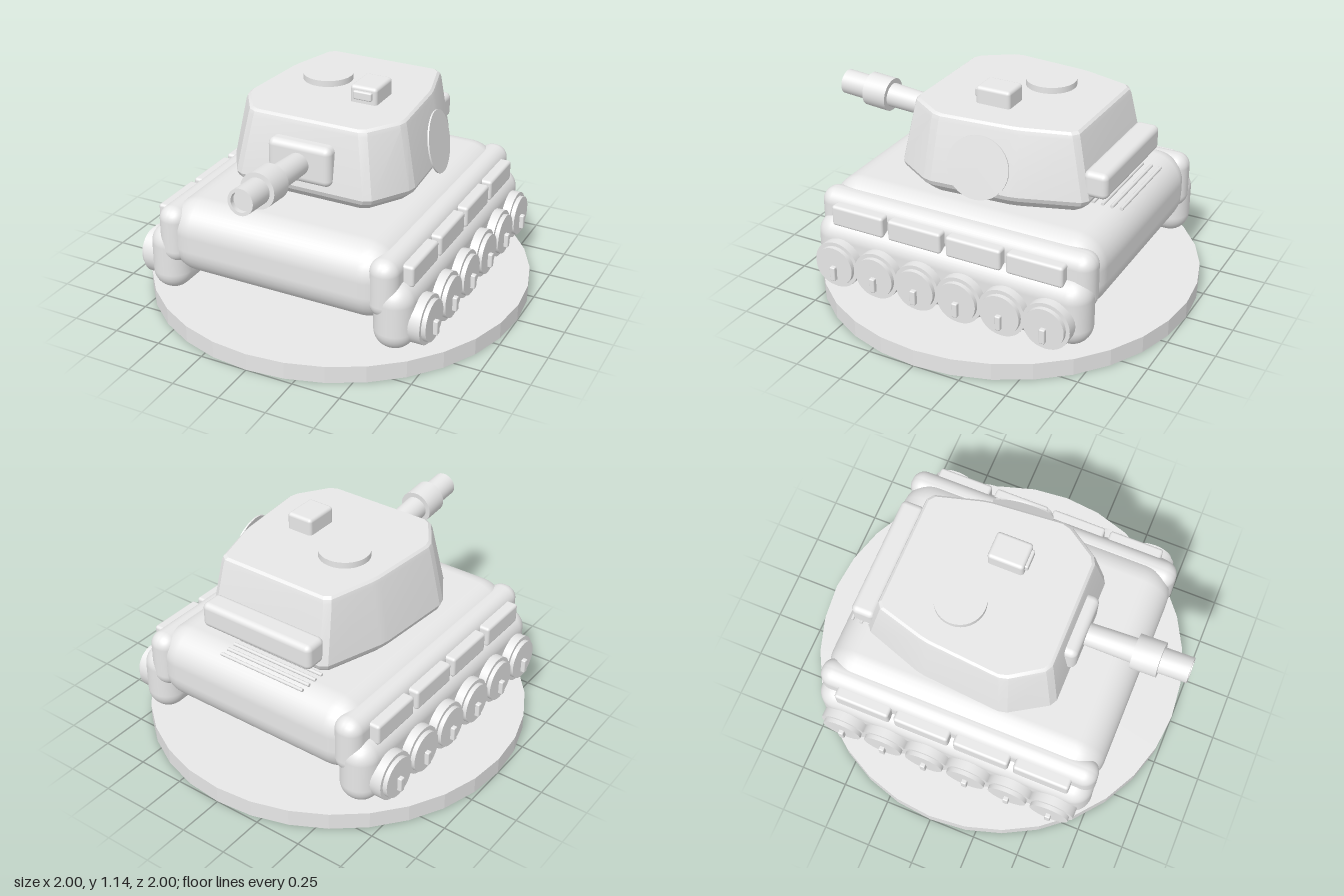
import * as THREE from 'three';
import { RoundedBoxGeometry } from 'three/addons/geometries/RoundedBoxGeometry.js';
import { toCreasedNormals } from 'three/addons/utils/BufferGeometryUtils.js';

const grey = new THREE.MeshStandardMaterial({ color: 0xe7e7e7 });
grey.name = 'plain grey';

function add(parent, name, geometry, x = 0, y = 0, z = 0) {
  const mesh = new THREE.Mesh(geometry, grey);
  mesh.name = name;
  mesh.position.set(x, y, z);
  parent.add(mesh);
  return mesh;
}

// Rounded box given by its limits on each axis
function block(parent, name, [x0, x1], [y0, y1], [z0, z1], r) {
  return add(parent, name, new RoundedBoxGeometry(x1 - x0, y1 - y0, z1 - z0, 5, r),
    (x0 + x1) / 2, (y0 + y1) / 2, (z0 + z1) / 2);
}

// Disc with its axis along x
function sideDisc(r, depth) {
  return toCreasedNormals(new THREE.CylinderGeometry(r, r, depth, 32).rotateZ(Math.PI / 2), 0.6);
}

// Cuts each corner of an outline into two points
function cutCorners(points, d) {
  const n = points.length;
  return points.flatMap((p, i) => [points[(i + n - 1) % n], points[(i + 1) % n]].map(
    (q) => p.clone().add(q.clone().sub(p).setLength(d))));
}

// Faceted turret lofted between a wide lower and a narrow upper outline
function turretGeometry() {
  const outline = (half) => cutCorners([
    ...half.map(([x, z]) => new THREE.Vector2(x, z)),
    ...half.slice().reverse().map(([x, z]) => new THREE.Vector2(-x, z)),
  ], 0.025);
  const lower = outline([[0.36, 0.435], [0.5, 0.21], [0.465, -0.25], [0.35, -0.59]]);
  const upper = outline([[0.31, 0.385], [0.44, 0.19], [0.405, -0.24], [0.325, -0.525]]);
  // height, blend from lower to upper outline, scale
  const rings = [[0.636, 0, 0.84], [0.65, 0, 0.89], [0.695, 0, 0.98], [0.72, 0, 1],
    [1.025, 1, 1], [1.045, 1, 0.985], [1.056, 1, 0.955]];
  const n = lower.length, pos = [], idx = [];
  for (const [y, t, s] of rings) {
    lower.forEach((p, i) => {
      const q = p.clone().lerp(upper[i], t);
      pos.push(q.x * s, y, (q.y + 0.08) * s - 0.08);
    });
  }
  for (let r = 0; r < rings.length - 1; r++) {
    for (let i = 0; i < n; i++) {
      const a = r * n + i, b = r * n + (i + 1) % n;
      idx.push(a, b, b + n, a, b + n, a + n);
    }
  }
  // Flat floor and roof
  const top = (rings.length - 1) * n;
  for (let i = 1; i < n - 1; i++) idx.push(0, i + 1, i, top, top + i, top + i + 1);
  const geo = new THREE.BufferGeometry();
  geo.setAttribute('position', new THREE.Float32BufferAttribute(pos, 3));
  geo.setIndex(idx);
  return toCreasedNormals(geo, 0.3);
}

export function createModel() {
  const tank = new THREE.Group();
  tank.name = 'tank';

  // Round display base
  add(tank, 'base', toCreasedNormals(new THREE.CylinderGeometry(1, 1, 0.09, 32), 0.1), 0, 0.045, 0);

  // Hull
  block(tank, 'hull', [-0.62, 0.62], [0.238, 0.635], [-0.757, 0.757], 0.16);

  // Running gear on both sides
  for (const s of [1, -1]) {
    const side = new THREE.Group();
    side.name = s > 0 ? 'leftRunningGear' : 'rightRunningGear';
    tank.add(side);
    const span = (a, b) => (s > 0 ? [a, b] : [-b, -a]);
    block(side, 'fender', span(0.5, 0.65), [0.3, 0.602], [-0.757, 0.757], 0.07);
    block(side, 'track', span(0.515, 0.72), [0.128, 0.48], [-0.757, 0.757], 0.1);
    for (let i = 0; i < 4; i++) {
      const z = 0.495 - i * 0.327;
      block(side, 'stowageBox', span(0.62, 0.7), [0.45, 0.56], [z - 0.149, z + 0.149], 0.015);
    }
    for (let i = 0; i < 6; i++) {
      const z = 0.585 - i * 0.234;
      add(side, 'wheel', sideDisc(0.125, 0.12), s * 0.705, 0.27, z);
      add(side, 'wheelCap', sideDisc(0.105, 0.08), s * 0.748, 0.27, z);
      block(side, 'wheelHub', span(0.77, 0.81), [0.198, 0.275], [z - 0.015, z + 0.015], 0.006);
    }
  }

  // Turret with its fittings
  const turret = new THREE.Group();
  turret.name = 'turret';
  tank.add(turret);
  add(turret, 'turretShell', turretGeometry());
  add(turret, 'hatch', toCreasedNormals(new THREE.CylinderGeometry(0.13, 0.13, 0.05, 32), 0.6), -0.15, 1.063, -0.15);
  block(turret, 'periscope', [0.086, 0.232], [1.03, 1.143], [-0.112, 0.077], 0.018);
  block(turret, 'periscopeWindow', [0.11, 0.21], [1.077, 1.122], [0.05, 0.093], 0.008);
  block(turret, 'rearBin', [-0.33, 0.325], [0.735, 0.87], [-0.677, -0.55], 0.03);
  block(turret, 'mantlet', [-0.173, 0.17], [0.753, 0.96], [0.36, 0.46], 0.035);

  // Leaning round plate on one flank
  const plate = add(turret, 'sidePlate', sideDisc(0.16, 0.008), 0.503, 0.858, -0.085);
  plate.quaternion.setFromUnitVectors(new THREE.Vector3(1, 0, 0),
    new THREE.Vector3(1, 0.206, -0.11).normalize());

  // Gun barrel with a collar and a shallow bore
  const profile = [[0, 0], [0.058, 0], [0.064, 0.27], [0.09, 0.27], [0.09, 0.405],
    [0.066, 0.405], [0.066, 0.555], [0.05, 0.555], [0.05, 0.53], [0, 0.53]]
    .map(([r, y]) => new THREE.Vector2(r, y));
  const barrel = add(turret, 'barrel', toCreasedNormals(new THREE.LatheGeometry(profile, 32), 0.6), 0, 0.855, 0.44);
  barrel.rotation.x = Math.PI / 2 - 0.075;

  // Engine grille bars on the rear deck
  for (let i = 0; i < 4; i++) {
    add(tank, 'grilleBar', new THREE.CylinderGeometry(0.009, 0.009, 0.5, 10).rotateZ(Math.PI / 2),
      -0.06, 0.64, -0.55 - i * 0.05);
  }
  return tank;
}
